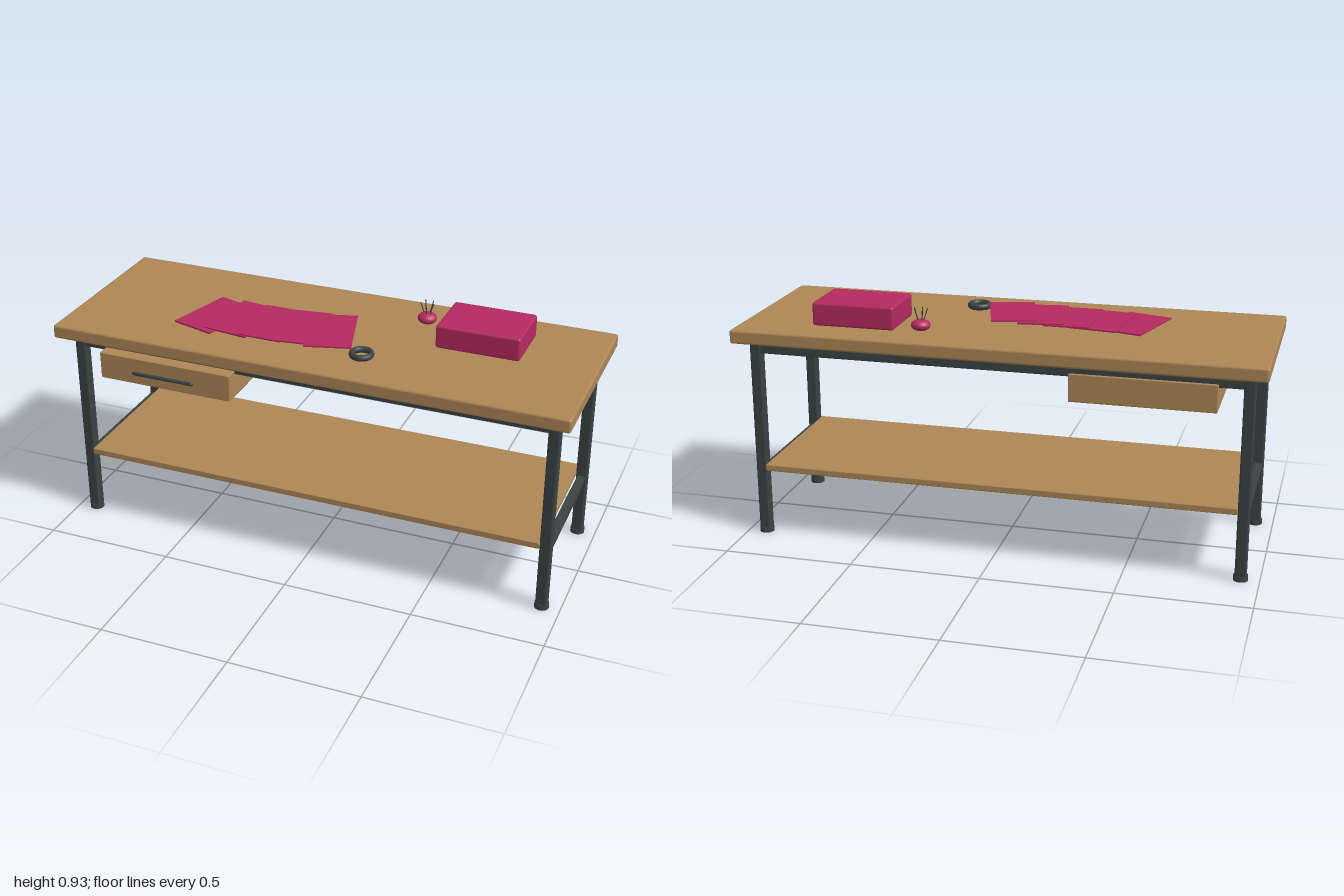
import * as THREE from 'three';
import { RoundedBoxGeometry } from 'three/addons/geometries/RoundedBoxGeometry.js';

export function createModel() {
  const root = new THREE.Group();
  root.name = 'worktable';
  const mat = (name, color) => {
    const m = new THREE.MeshStandardMaterial({ color });
    m.name = name;
    return m;
  };
  const wood = mat('wood', 0xad8656);
  const metal = mat('dark metal', 0x3a4343);
  const fabric = mat('magenta fabric', 0xb52a5f);

  const add = (name, geometry, material, x, y, z, parent = root) => {
    const mesh = new THREE.Mesh(geometry, material);
    mesh.name = name;
    mesh.position.set(x, y, z);
    parent.add(mesh);
    return mesh;
  };
  // Rounded block given by its min and max on each axis
  const block = (name, material, [x0, x1], [y0, y1], [z0, z1], r) =>
    add(name, new RoundedBoxGeometry(x1 - x0, y1 - y0, z1 - z0, 2, r), material,
      (x0 + x1) / 2, (y0 + y1) / 2, (z0 + z1) / 2);

  // Boards
  block('tabletop', wood, [-1, 1], [0.785, 0.838], [-0.362, 0.362], 0.009);
  block('lowerShelf', wood, [-0.91, 0.91], [0.262, 0.288], [-0.3, 0.3], 0.004);

  // Legs and feet
  for (const sx of [-1, 1]) {
    for (const sz of [-1, 1]) {
      const x = sx * 0.93, z = sz * 0.273;
      block('leg', metal, [x - 0.0215, x + 0.0215], [0.015, 0.782], [z - 0.0215, z + 0.0215], 0.007);
      add('foot', new THREE.CylinderGeometry(0.027, 0.028, 0.02, 16), metal, x, 0.01, z);
    }
    // End rails
    const x = sx * 0.93;
    block('upperEndRail', metal, [x - 0.016, x + 0.016], [0.73, 0.766], [-0.26, 0.26], 0.004);
    block('lowerEndRail', metal, [x - 0.016, x + 0.016], [0.235, 0.264], [-0.26, 0.26], 0.004);
    // Long rails
    const z = sx * 0.273;
    block('longRail', metal, [-0.915, 0.915], [0.733, 0.766], [z - 0.016, z + 0.016], 0.004);
  }

  // Drawer and its handle
  block('drawer', wood, [-0.82, -0.28], [0.64, 0.746], [-0.298, 0.337], 0.004);
  const handle = add('drawerHandle', new THREE.CapsuleGeometry(0.007, 0.24, 4, 10), metal, -0.55, 0.692, 0.352);
  handle.rotation.z = Math.PI / 2;

  // Storage box
  block('fabricBox', fabric, [0.4, 0.72], [0.838, 0.928], [-0.226, 0.008], 0.01);

  // Fanned swatches, each resting on the one before
  const fan = [[-0.457, 0.067, -0.28], [-0.34, 0.065, -0.13], [-0.22, 0.068, 0],
    [-0.105, 0.066, 0.14], [0.013, 0.065, 0.28]];
  fan.forEach(([x, z, turn], i) => {
    const sheet = add('swatch', new THREE.BoxGeometry(0.176, 0.006, 0.274), fabric, x, 0.847 + i * 0.004, z);
    sheet.rotation.y = turn;
  });

  // Tape roll
  const tape = add('tapeRoll', new THREE.TorusGeometry(0.037, 0.01, 10, 32).rotateX(Math.PI / 2), metal,
    0.178, 0.851, 0.178);
  tape.scale.y = 1.25;

  // Pincushion with a ring of leaning pins
  const cushion = add('pincushion', new THREE.SphereGeometry(0.037, 20, 14), fabric, 0.305, 0.859, -0.187);
  cushion.scale.y = 0.6;
  for (let i = 0; i < 5; i++) {
    const a = (i / 5) * Math.PI * 2 + 0.3;
    const base = new THREE.Vector3(0.305 + 0.01 * Math.cos(a), 0.872, -0.187 + 0.01 * Math.sin(a));
    const tip = new THREE.Vector3(0.305 + 0.026 * Math.cos(a), 0.92, -0.187 + 0.026 * Math.sin(a));
    add('pin', new THREE.TubeGeometry(new THREE.LineCurve3(base, tip), 1, 0.0018, 6), metal, 0, 0, 0);
    add('pinHead', new THREE.SphereGeometry(0.003, 8, 6), metal, tip.x, tip.y, tip.z);
  }
  return root;
}
